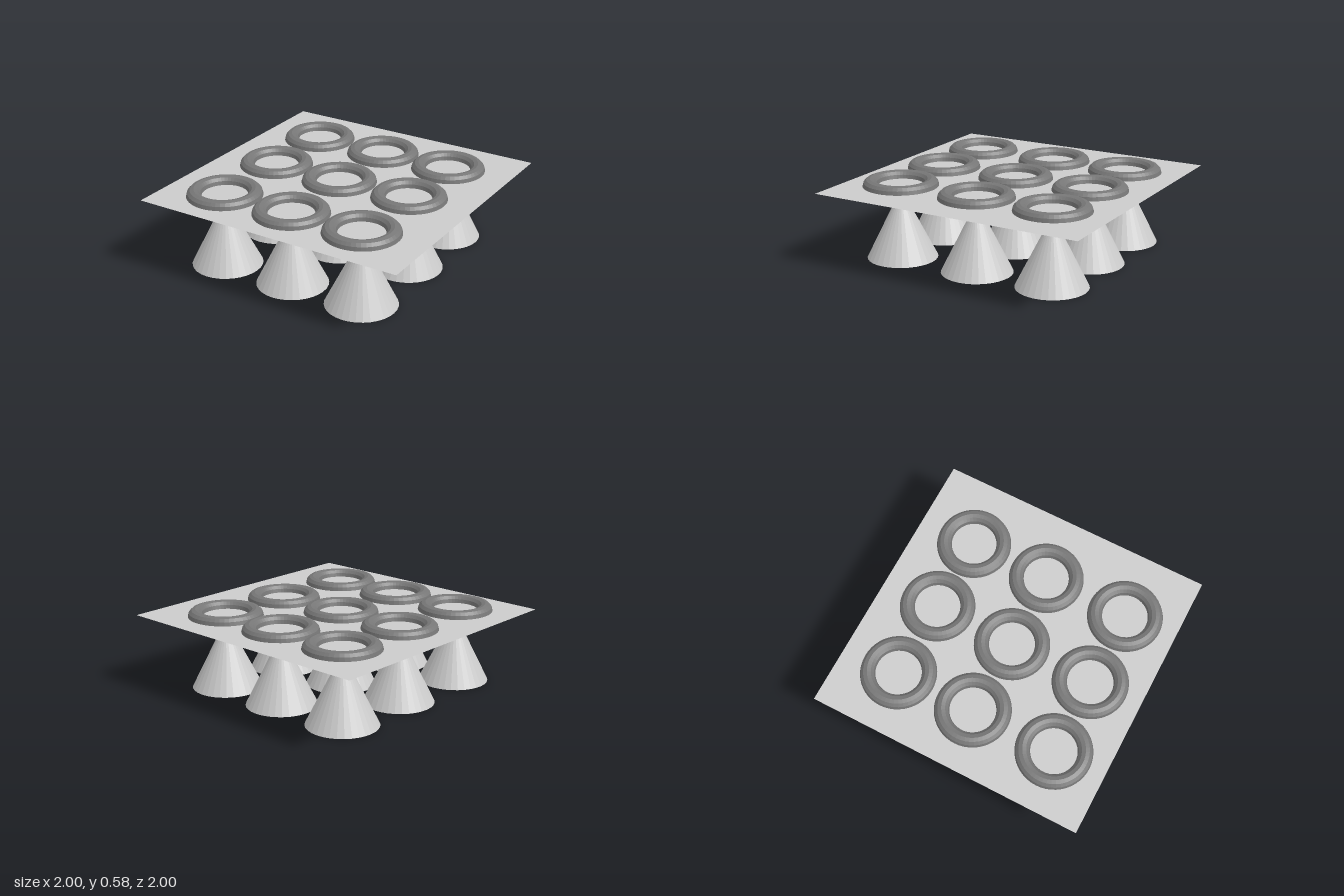
import * as THREE from 'three';

const RING_Y = 0.525;

// Hand-placed grid positions [x, z], back row to front row
const SPOTS = [
  [-0.567, -0.58], [-0.01, -0.58], [0.533, -0.58],
  [-0.567, 0.0], [-0.02, 0.015], [0.533, 0.0],
  [-0.57, 0.62], [-0.018, 0.62], [0.53, 0.62],
];

export function createModel() {
  const model = new THREE.Group();
  const grey = new THREE.MeshStandardMaterial({ color: 0xcccccc, flatShading: true });
  const sheetMat = new THREE.MeshStandardMaterial({ color: 0xcccccc, side: THREE.DoubleSide });
  const dark = new THREE.MeshStandardMaterial({ color: 0x777777, flatShading: true });

  const add = (name, geometry, material, x, y, z) => {
    const mesh = new THREE.Mesh(geometry, material);
    mesh.name = name;
    mesh.position.set(x, y, z);
    model.add(mesh);
  };

  // Thin square sheet cutting the rings at mid height
  add('sheet', new THREE.PlaneGeometry(2, 2).rotateX(-Math.PI / 2), sheetMat, 0, RING_Y, 0);

  // A ring set in the sheet above each cone
  const ring = new THREE.TorusGeometry(0.213, 0.053, 12, 48).rotateX(Math.PI / 2);
  const cone = new THREE.ConeGeometry(0.25, 0.5, 32);
  SPOTS.forEach(([x, z], i) => {
    add(`ring${i + 1}`, ring, dark, x, RING_Y, z);
    add(`cone${i + 1}`, cone, grey, x, 0.25, z);
  });

  return model;
}
